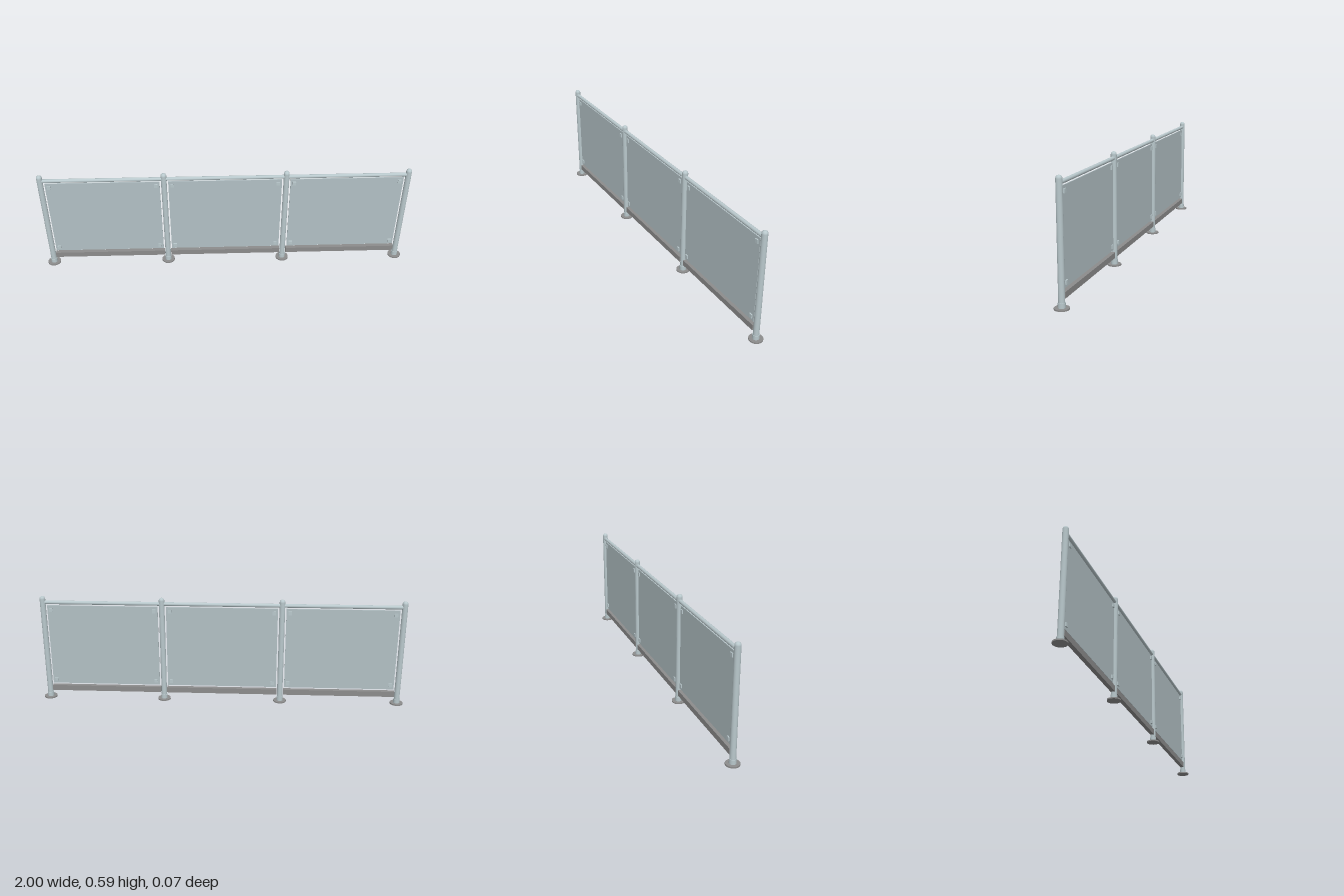
import * as THREE from 'three';

export function createModel() {
  const steel = new THREE.MeshStandardMaterial({ name: 'paleSteel', color: 0xb9c8cc });
  const glass = new THREE.MeshStandardMaterial({ name: 'paleGlass', color: 0xb2c0c4 });
  const grey = new THREE.MeshStandardMaterial({ name: 'midGrey', color: 0x8c8c8c });

  const model = new THREE.Group();
  model.name = 'railing';

  const add = (parent, name, geometry, material, x = 0, y = 0, z = 0) => {
    const mesh = new THREE.Mesh(geometry, material);
    mesh.name = name;
    mesh.position.set(x, y, z);
    parent.add(mesh);
    return mesh;
  };

  const postXs = [-0.965, -0.3217, 0.3217, 0.965];
  const postRadius = 0.015;
  const postTop = 0.588;

  // Post profile: straight tube closed by a rounded cap
  const profile = [new THREE.Vector2(postRadius, 0.007)];
  for (let i = 0; i <= 8; i++) {
    const a = (i / 8) * Math.PI / 2;
    profile.push(new THREE.Vector2(
      i === 8 ? 0 : postRadius * Math.cos(a),
      postTop - postRadius + postRadius * Math.sin(a)));
  }
  const postGeometry = new THREE.LatheGeometry(profile, 24);
  const collarGeometry = new THREE.CylinderGeometry(0.0175, 0.0175, 0.023, 24);
  const plateGeometry = new THREE.CylinderGeometry(0.035, 0.035, 0.007, 24);

  // Posts with collar and round foot
  for (const x of postXs) {
    const post = new THREE.Group();
    post.name = 'postAssembly';
    post.position.x = x;
    add(post, 'post', postGeometry, steel);
    add(post, 'collar', collarGeometry, steel, 0, 0.0185);
    add(post, 'footPlate', plateGeometry, grey, 0, 0.0035);
    model.add(post);
  }

  // Bays between the posts
  const spacing = postXs[1] - postXs[0];
  const panelWidth = 0.598, panelBottom = 0.085, panelTop = 0.537;
  const panelY = (panelBottom + panelTop) / 2;
  const panelHeight = panelTop - panelBottom;
  const railGeometry = new THREE.CylinderGeometry(0.01, 0.01, spacing - 0.02, 20, 1, true);
  const panelGeometry = new THREE.BoxGeometry(panelWidth, panelHeight, 0.006);
  const kickGeometry = new THREE.BoxGeometry(spacing - 0.035, 0.03, 0.022);
  const clipGeometry = new THREE.BoxGeometry(0.018, 0.02, 0.018);

  for (let i = 0; i < 3; i++) {
    const bay = new THREE.Group();
    bay.name = 'bay';
    bay.position.x = (postXs[i] + postXs[i + 1]) / 2;
    add(bay, 'handrail', railGeometry, steel, 0, 0.554).rotation.z = Math.PI / 2;
    add(bay, 'panel', panelGeometry, glass, 0, panelY);
    add(bay, 'kickBoard', kickGeometry, grey, 0, 0.058);

    // Clamps at the panel corners, showing on both faces
    for (const sx of [-1, 1]) {
      for (const sy of [-1, 1]) {
        add(bay, 'clamp', clipGeometry, steel,
          sx * (panelWidth / 2 - 0.02), panelY + sy * (panelHeight / 2 - 0.024));
      }
    }
    model.add(bay);
  }

  return model;
}
